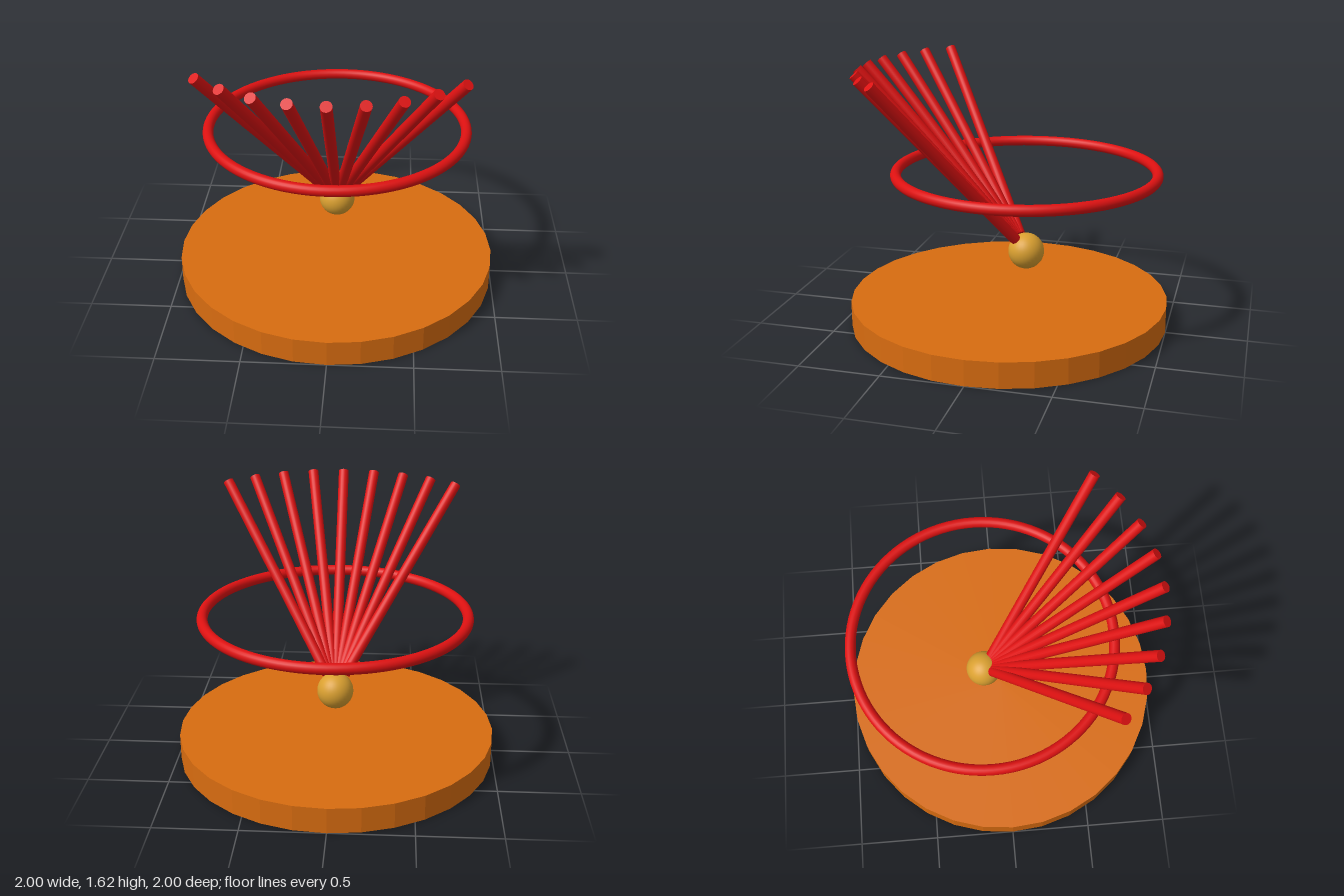
import * as THREE from 'three';

const UP = new THREE.Vector3(0, 1, 0);

// Cylinder running between two points
function rodBetween(a, b, radius, material) {
  const dir = b.clone().sub(a);
  const mesh = new THREE.Mesh(new THREE.CylinderGeometry(radius, radius, dir.length(), 20), material);
  mesh.position.copy(a).add(b).multiplyScalar(0.5);
  mesh.quaternion.setFromUnitVectors(UP, dir.normalize());
  return mesh;
}

export function createModel() {
  const orange = new THREE.MeshStandardMaterial({ color: 0xd86c10 });
  orange.name = 'orange';
  const red = new THREE.MeshStandardMaterial({ color: 0xdd1111 });
  red.name = 'red';
  const gold = new THREE.MeshStandardMaterial({ color: 0xdaa030 });
  gold.name = 'gold';

  const model = new THREE.Group();
  const centreZ = -0.11;
  const ballY = 0.46;

  // Faceted round base
  const baseGeometry = new THREE.CylinderGeometry(1, 1, 0.16, 32).toNonIndexed();
  baseGeometry.computeVertexNormals();
  const base = new THREE.Mesh(baseGeometry, orange);
  base.name = 'base';
  base.position.y = 0.08;
  model.add(base);

  // Floating ball
  const ball = new THREE.Mesh(new THREE.SphereGeometry(0.113, 32, 24), gold);
  ball.name = 'ball';
  ball.position.set(0, ballY, centreZ);
  model.add(ball);

  // Horizontal ring above the ball
  const ring = new THREE.Mesh(new THREE.TorusGeometry(0.801, 0.033, 20, 96), red);
  ring.name = 'ring';
  ring.rotation.x = Math.PI / 2;
  ring.position.set(0, 0.976, centreZ);
  model.add(ring);

  // Fan of nine rods leaning forward from the ball
  const fan = new THREE.Group();
  fan.name = 'rodFan';
  const pointAt = (angle, reach, y) =>
    new THREE.Vector3(Math.sin(angle) * reach, y, centreZ + Math.cos(angle) * reach);
  for (let i = -4; i <= 4; i++) {
    const angle = i * 0.2;
    const rod = rodBetween(pointAt(angle, 0.078, 0.547), pointAt(angle, 1.025, 1.602), 0.033, red);
    rod.name = `rod${i + 5}`;
    fan.add(rod);
  }
  model.add(fan);

  return model;
}
